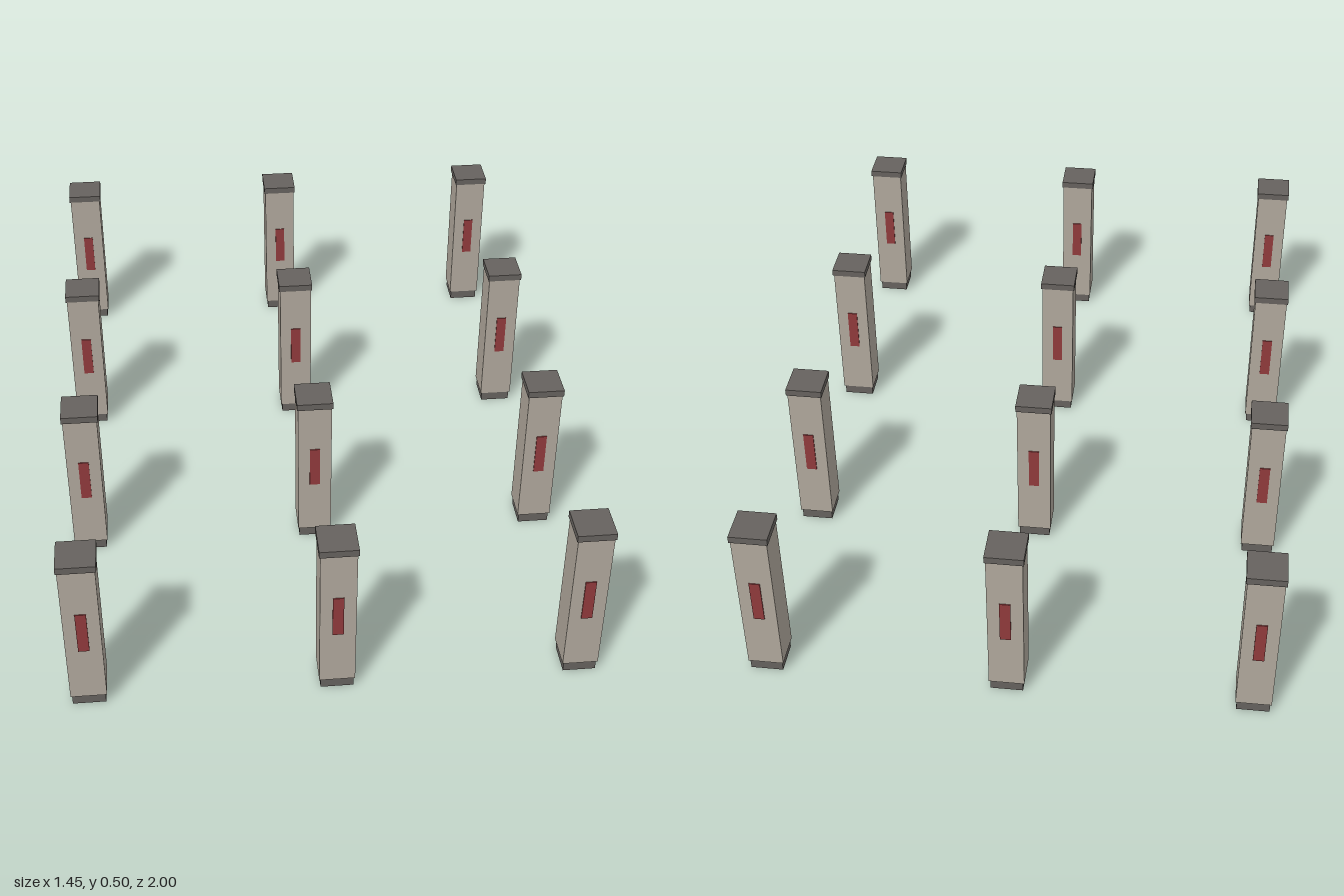
import * as THREE from 'three';

function material(name, color) {
  const m = new THREE.MeshStandardMaterial({ color });
  m.name = name;
  return m;
}

export function createModel() {
  const stone = material('warm grey stone', 0xb0a89c);
  const dark = material('dark grey trim', 0x66625e);
  const red = material('dull red', 0x903a3c);

  // Shared geometries for every pillar
  const baseGeo = new THREE.BoxGeometry(0.09, 0.03, 0.09);
  const shaftGeo = new THREE.BoxGeometry(0.098, 0.445, 0.098);
  const capGeo = new THREE.BoxGeometry(0.105, 0.02, 0.105);
  const plateGeo = new THREE.BoxGeometry(0.03, 0.13, 0.006);

  function add(group, name, geo, mat, y, z = 0) {
    const mesh = new THREE.Mesh(geo, mat);
    mesh.name = name;
    mesh.position.set(0, y, z);
    group.add(mesh);
  }

  function makePillar() {
    const pillar = new THREE.Group();
    add(pillar, 'base', baseGeo, dark, 0.015);
    add(pillar, 'shaft', shaftGeo, stone, 0.2525);
    add(pillar, 'cap', capGeo, dark, 0.485);
    // Red plates on the front and back faces
    add(pillar, 'frontPlate', plateGeo, red, 0.265, 0.049);
    add(pillar, 'backPlate', plateGeo, red, 0.265, -0.049);
    return pillar;
  }

  // Three columns by four rows of pillars
  const model = new THREE.Group();
  model.name = 'pillarGrid';
  for (let col = 0; col < 3; col++) {
    for (let row = 0; row < 4; row++) {
      const pillar = makePillar();
      pillar.name = `pillar${col * 4 + row + 1}`;
      pillar.position.set((col - 1) * 0.672, 0, (row - 1.5) * 0.6317);
      model.add(pillar);
    }
  }
  return model;
}
